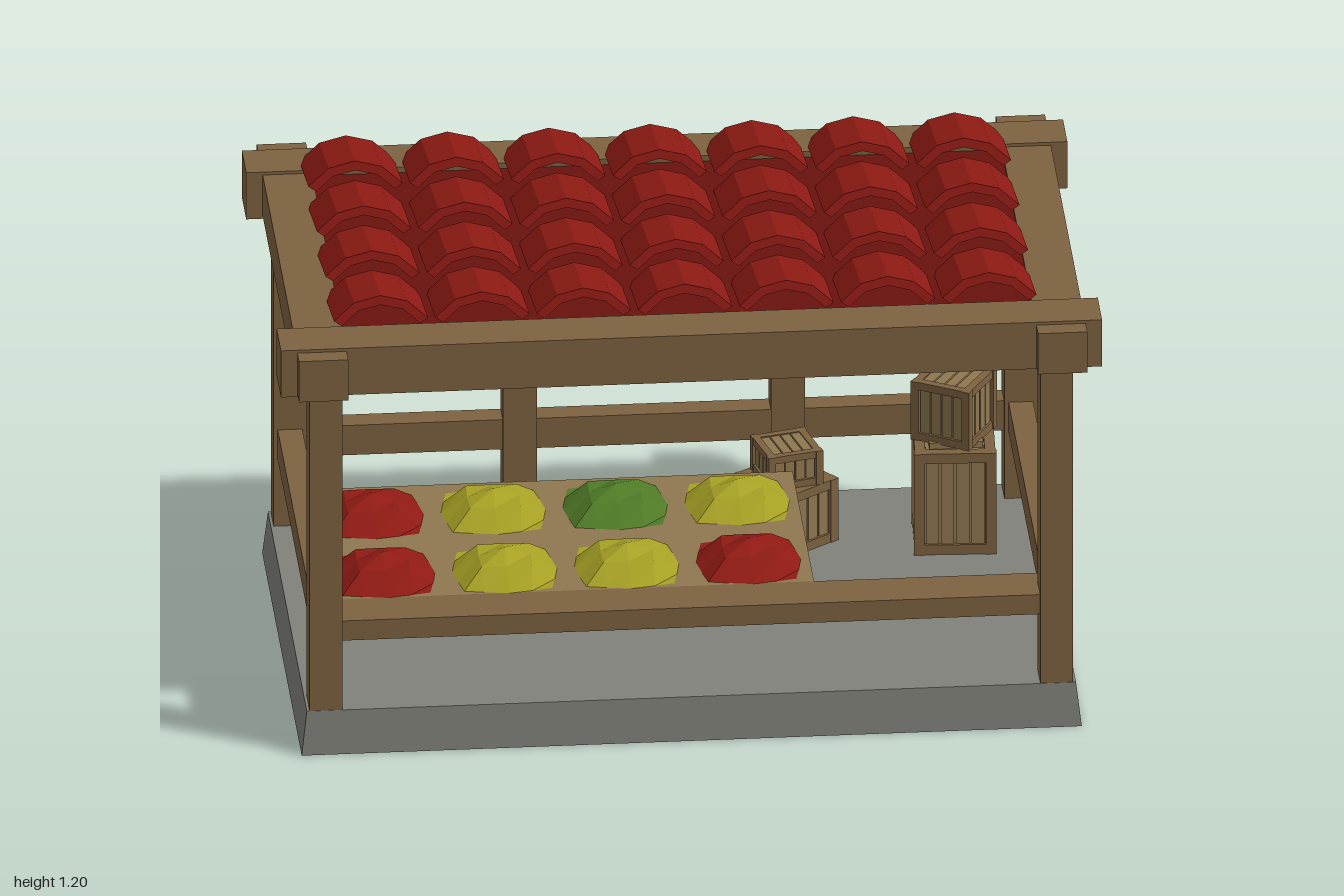
import * as THREE from 'three';

const mat = (color, extra = {}) => new THREE.MeshStandardMaterial({ color, flatShading: true, ...extra });
const wood = mat(0x7d6240), plank = mat(0x8f7750), stone = mat(0x80817a);
const tileRed = mat(0x8f1a14), panelRed = mat(0x6a120e);
const fruit = { red: mat(0x8f1a14), yellow: mat(0xa6a024), green: mat(0x4f7a26) };

function add(parent, name, geometry, material, x = 0, y = 0, z = 0) {
  const mesh = new THREE.Mesh(geometry, material);
  mesh.name = name;
  mesh.position.set(x, y, z);
  parent.add(mesh);
  return mesh;
}

// Box given by its lower and upper corner
function block(parent, name, material, [x0, y0, z0], [x1, y1, z1]) {
  return add(parent, name, new THREE.BoxGeometry(x1 - x0, y1 - y0, z1 - z0), material,
    (x0 + x1) / 2, (y0 + y1) / 2, (z0 + z1) / 2);
}

// Slatted crate standing at y with a square frame of width w
function crate(parent, name, x, y, z, w, h, turn) {
  const g = new THREE.Group();
  g.name = name;
  g.position.set(x, y, z);
  g.rotation.y = turn;
  const a = w / 2, t = w * 0.13;
  block(g, 'crateBody', plank, [-a + 0.012, 0.005, -a + 0.012], [a - 0.012, h - 0.012, a - 0.012]);
  for (const sx of [-1, 1]) {
    for (const sz of [-1, 1]) {
      add(g, 'cratePost', new THREE.BoxGeometry(t, h, t), wood, sx * (a - t / 2), h / 2, sz * (a - t / 2));
    }
    for (const ry of [t / 2, h - t / 2]) {
      add(g, 'crateRail', new THREE.BoxGeometry(w - 2 * t, t, t), wood, 0, ry, sx * (a - t / 2 - 0.002));
      add(g, 'crateRail', new THREE.BoxGeometry(t, t, w - 2 * t), wood, sx * (a - t / 2 - 0.002), ry, 0);
    }
  }
  // Boards on the sides and the lid
  const n = 4, bw = (w - 2 * t) / n;
  for (let i = 0; i < n; i++) {
    const p = -a + t + bw * (i + 0.5);
    add(g, 'crateBoard', new THREE.BoxGeometry(bw * 0.86, h - 2 * t, w - 0.016), plank, p, h / 2, 0);
    add(g, 'crateBoard', new THREE.BoxGeometry(w - 0.016, h - 2 * t, bw * 0.86), plank, 0, h / 2, p);
    add(g, 'crateLidBoard', new THREE.BoxGeometry(bw * 0.86, 0.012, w - 2 * t), plank, p, h - 0.009, 0);
  }
  parent.add(g);
}

// Faceted heap with a squarish outline
function heapGeometry(size, height) {
  const g = new THREE.PlaneGeometry(2, 2, 4, 4).rotateX(-Math.PI / 2);
  const p = g.attributes.position;
  for (let i = 0; i < p.count; i++) {
    const u = p.getX(i), v = p.getZ(i);
    const pinch = 1 - 0.16 * Math.abs(u * v);
    const m = Math.max(Math.abs(u), Math.abs(v));
    p.setXYZ(i, u * pinch * size / 2, height * (1 - m ** 1.6), v * pinch * size / 2);
  }
  g.computeVertexNormals();
  return g;
}

// Arched roof tile: crown at the origin, running back along -z
function tileGeometry(length) {
  const R = 0.14, r = 0.117, half = 0.96, n = 4, pts = [];
  for (let i = 0; i <= n; i++) {
    const a = -half + 2 * half * i / n;
    pts.push(new THREE.Vector2(R * Math.sin(a), R * Math.cos(a) - R));
  }
  for (let i = n; i >= 0; i--) {
    const a = -half + 2 * half * i / n;
    pts.push(new THREE.Vector2(r * Math.sin(a), r * Math.cos(a) - R));
  }
  return new THREE.ExtrudeGeometry(new THREE.Shape(pts), { depth: length, bevelEnabled: false })
    .translate(0, 0, -length);
}

export function createModel() {
  const stall = new THREE.Group();
  stall.name = 'marketStall';

  // Stone base, slightly narrower at the top
  const slab = new THREE.BoxGeometry(1.9, 0.115, 1.12);
  const sp = slab.attributes.position;
  for (let i = 0; i < sp.count; i++) {
    if (sp.getY(i) > 0) sp.setXYZ(i, sp.getX(i) * 0.986, sp.getY(i), sp.getZ(i) * 0.984);
  }
  slab.computeVertexNormals();
  add(stall, 'base', slab, stone, 0, 0.0575, 0);

  // Corner posts, beams and side rails
  for (const s of [-1, 1]) {
    for (const t of [-1, 1]) {
      add(stall, 'cornerPost', new THREE.BoxGeometry(0.08, 0.93, 0.08), wood, s * 0.89, 0.575, t * 0.51);
    }
    add(stall, 'longBeam', new THREE.BoxGeometry(2, 0.126, 0.122), wood, 0, 1.03, s * 0.492);
    add(stall, 'sideBeam', new THREE.BoxGeometry(0.12, 0.11, 1.2), wood, s * 0.9, 1.03, 0);
    add(stall, 'sideRail', new THREE.BoxGeometry(0.06, 0.08, 0.96), wood, s * 0.89, 0.335, 0);
  }

  // Back posts and rail
  for (const x of [-0.33, 0.323]) {
    add(stall, 'backPost', new THREE.BoxGeometry(0.082, 0.9, 0.08), wood, x, 0.56, -0.51);
  }
  add(stall, 'backRail', new THREE.BoxGeometry(1.72, 0.08, 0.06), wood, 0, 0.335, -0.51);

  // Counter
  block(stall, 'counterFrontRail', wood, [-0.86, 0.297, 0.42], [0.86, 0.35, 0.54]);
  block(stall, 'counterTop', plank, [-0.87, 0.302, -0.19], [0.31, 0.349, 0.43]);

  // Produce heaps
  const heap = heapGeometry(0.255, 0.062);
  const rows = [[0.295, ['red', 'yellow', 'yellow', 'red']], [-0.03, ['red', 'yellow', 'green', 'yellow']]];
  for (const [z, colors] of rows) {
    colors.forEach((c, i) => add(stall, 'produceHeap', heap, fruit[c], -0.73 + i * 0.297, 0.35, z));
  }

  // Crates
  crate(stall, 'tallCrate', 0.71, 0.115, -0.272, 0.2, 0.272, -0.05);
  crate(stall, 'upperCrate', 0.71, 0.395, -0.275, 0.157, 0.157, -0.53);
  block(stall, 'upperCrateFoot', plank, [0.645, 0.38, -0.34], [0.775, 0.4, -0.21]);
  crate(stall, 'lowCrate', 0.3, 0.115, -0.3, 0.186, 0.167, 0.63);
  crate(stall, 'smallCrate', 0.305, 0.282, -0.3, 0.14, 0.09, 0.25);

  // Roof panel and tiles
  add(stall, 'roofPanel', new THREE.BoxGeometry(1.7, 0.02, 0.9), panelRed, 0, 1.068, 0);
  const tile = tileGeometry(0.272);
  for (let row = 0; row < 4; row++) {
    for (let col = 0; col < 7; col++) {
      const m = add(stall, 'roofTile', tile, tileRed,
        -0.75 + col * 0.247, 1.19 + row * 0.0033, 0.467 - row * 0.241);
      m.rotation.x = -0.225;
    }
  }
  return stall;
}
